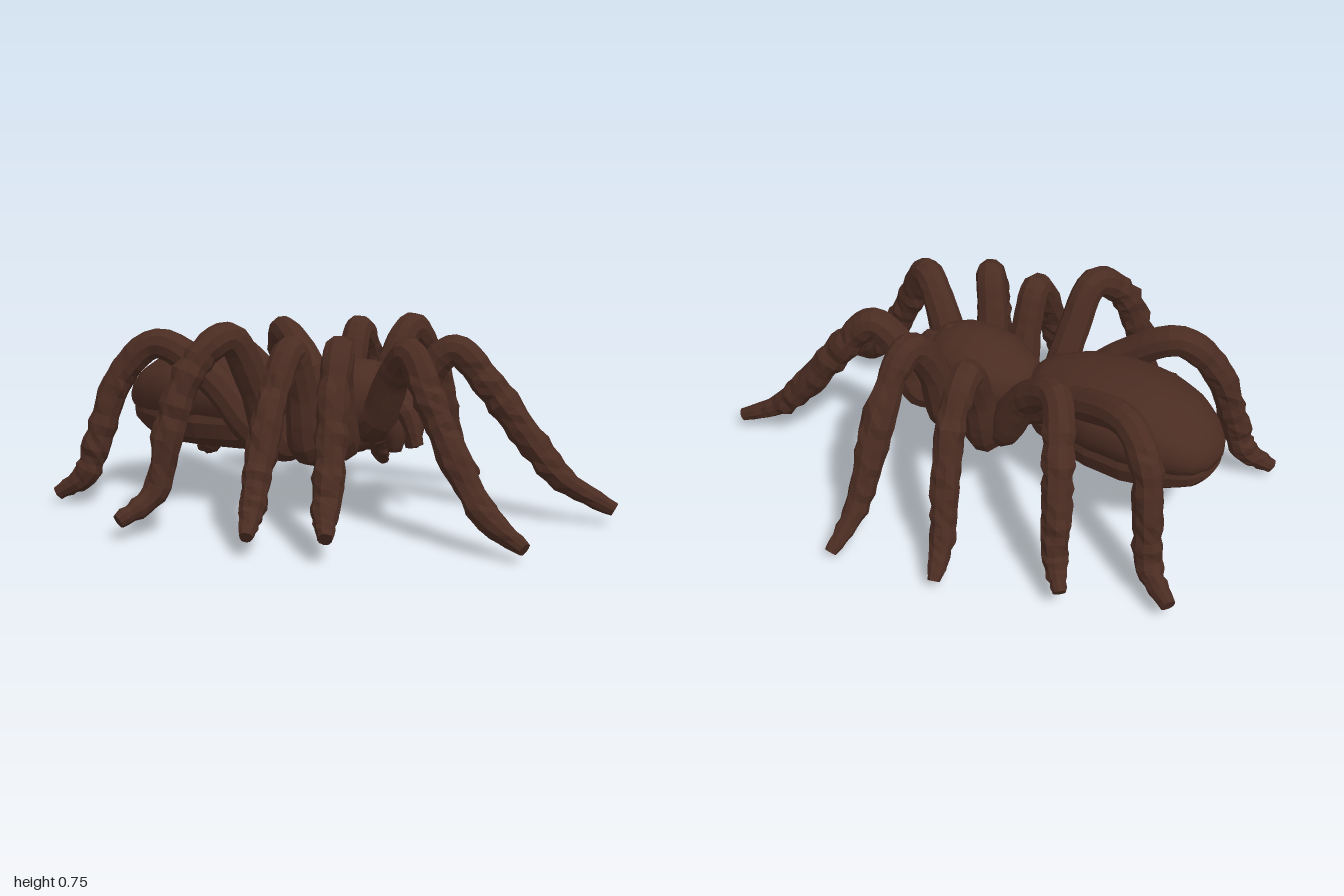
import * as THREE from 'three';

const brown = new THREE.MeshStandardMaterial({ color: 0x4a2c22 });
brown.name = 'dark brown';

// Seeded noise for the rough, hairy shins
let seed = 7;
const noise = () => {
  seed = (seed * 16807) % 2147483647;
  return seed / 2147483647 - 0.5;
};

// Skin over stations [x, y, z, halfHeight, halfWidth]; power < 1 makes sections boxier
function loft(name, stations, { steps = 24, sides = 10, power = 1, rough = () => 0, flat = true } = {}) {
  const at = i => new THREE.Vector3(stations[i][0], stations[i][1], stations[i][2]);
  const curve = new THREE.CatmullRomCurve3(stations.map((s, i) => at(i)));
  const last = stations.length - 1;
  const heading = at(last).sub(at(0)).setY(0).normalize();
  const across = new THREE.Vector3(0, 1, 0).cross(heading);
  const soft = v => Math.sign(v) * Math.abs(v) ** power;
  const pos = [], index = [];
  for (let i = 0; i <= steps; i++) {
    const t = i / steps, k = Math.min(Math.floor(t * last), last - 1), f = t * last - k;
    const h = THREE.MathUtils.lerp(stations[k][3], stations[k + 1][3], f);
    const w = THREE.MathUtils.lerp(stations[k][4], stations[k + 1][4], f);
    const c = curve.getPoint(t), tan = curve.getTangent(t);
    const side = across.clone().addScaledVector(tan, -across.dot(tan)).normalize();
    const up = tan.clone().cross(side);
    const ring = 1 + rough(t) * noise();
    for (let j = 0; j < sides; j++) {
      const a = (j / sides) * Math.PI * 2, r = ring + rough(t) * noise();
      const p = c.clone().addScaledVector(side, soft(Math.cos(a)) * w * r)
        .addScaledVector(up, soft(Math.sin(a)) * h * r);
      pos.push(p.x, p.y, p.z);
      if (i < steps) {
        const q = i * sides + j, n = i * sides + (j + 1) % sides;
        index.push(q, n, q + sides, n, n + sides, q + sides);
      }
    }
  }
  // End caps
  const end = steps * sides, tip = pos.length / 3;
  pos.push(...at(0).toArray(), ...at(last).toArray());
  for (let j = 0; j < sides; j++) {
    const n = (j + 1) % sides;
    index.push(tip, n, j, tip + 1, end + j, end + n);
  }
  let geo = new THREE.BufferGeometry();
  geo.setAttribute('position', new THREE.Float32BufferAttribute(pos, 3));
  geo.setIndex(index);
  if (flat) geo = geo.toNonIndexed();
  geo.computeVertexNormals();
  const mesh = new THREE.Mesh(geo, brown);
  mesh.name = name;
  return mesh;
}

// Leg joints from body to foot: root, hip, thigh, knee, shin, calf, ankle, toe
const legs = {
  leftLegs: [
    [[.15, .36, -.01], [.27, .38, .01], [.38, .56, .04], [.48, .65, .07], [.58, .5, .083], [.68, .33, .083], [.82, .14, .085], [.99, .05, .09]],
    [[.12, .31, .02], [.18, .31, .1], [.22, .52, .165], [.28, .655, .22], [.35, .5, .33], [.41, .28, .41], [.455, .15, .48], [.52, .09, .55]],
    [[.05, .29, .03], [.06, .28, .14], [.075, .5, .2], [.09, .645, .27], [.125, .48, .4], [.16, .27, .5], [.205, .13, .58], [.26, .07, .66]],
    [[-.03, .29, .05], [-.08, .28, .16], [-.09, .5, .27], [-.095, .69, .4], [-.135, .6, .53], [-.165, .38, .62], [-.19, .15, .68], [-.22, .07, .82]],
    [[-.06, .31, .06], [-.14, .3, .18], [-.32, .51, .28], [-.53, .63, .37], [-.64, .5, .46], [-.69, .28, .53], [-.73, .12, .57], [-.82, .04, .64]],
  ],
  rightLegs: [
    [[.15, .34, -.12], [.25, .36, -.21], [.32, .55, -.25], [.4, .625, -.29], [.5, .52, -.345], [.63, .34, -.405], [.78, .16, -.46], [.95, .06, -.545]],
    [[.06, .29, -.1], [.1, .31, -.2], [.11, .55, -.28], [.12, .68, -.38], [.12, .55, -.5], [.12, .33, -.6], [.11, .14, -.69], [.11, .02, -.83]],
    [[-.02, .29, -.1], [-.07, .3, -.19], [-.09, .52, -.26], [-.12, .655, -.34], [-.155, .55, -.45], [-.2, .33, -.54], [-.245, .14, -.61], [-.29, .04, -.7]],
    [[-.04, .31, -.09], [-.13, .34, -.16], [-.26, .54, -.18], [-.42, .64, -.21], [-.52, .5, -.31], [-.57, .3, -.375], [-.61, .14, -.42], [-.68, .08, -.48]],
    [[-.1, .35, -.04], [-.25, .42, -.02], [-.42, .52, -.05], [-.66, .59, -.11], [-.77, .5, -.15], [-.82, .3, -.185], [-.86, .12, -.21], [-.99, .07, -.27]],
  ],
};
const legRadius = [.065, .078, .063, .059, .058, .058, .049, .026];

export function createModel() {
  const model = new THREE.Group();
  model.name = 'spider';

  // Abdomen: an upper shell sloping to a low rear, overhanging a flatter belly
  model.add(loft('abdomenShell', [
    [-.85, .36, .165, .025, .05], [-.825, .37, .163, .06, .105], [-.77, .39, .157, .1, .155],
    [-.68, .415, .148, .135, .2], [-.57, .43, .135, .152, .225], [-.43, .435, .115, .155, .228],
    [-.29, .425, .09, .15, .195], [-.18, .41, .06, .125, .145], [-.12, .39, .04, .08, .09], [-.1, .38, .035, .02, .03],
  ], { steps: 36, sides: 20, power: .95, flat: false }));
  model.add(loft('abdomenBelly', [
    [-.84, .34, .165, .03, .07], [-.8, .335, .16, .065, .115], [-.7, .335, .148, .105, .175],
    [-.57, .33, .135, .118, .205], [-.42, .33, .115, .118, .205], [-.28, .33, .09, .115, .17],
    [-.17, .33, .06, .1, .12], [-.1, .34, .04, .05, .06],
  ], { steps: 28, sides: 14, power: .8 }));

  // Domed head shield
  model.add(loft('carapace', [
    [-.12, .39, .01, .05, .06], [-.08, .41, 0, .11, .125], [.02, .425, -.022, .15, .178],
    [.12, .435, -.04, .16, .183], [.2, .445, -.055, .145, .165], [.26, .45, -.065, .115, .13],
    [.285, .45, -.07, .06, .08],
  ], { steps: 24, sides: 18, power: .95, flat: false }));

  // Underside plate between the hips
  model.add(loft('sternum', [
    [-.12, .28, .02, .03, .05], [-.05, .275, .01, .05, .09], [.06, .275, -.03, .055, .1],
    [.16, .29, -.05, .045, .08], [.22, .32, -.06, .02, .04],
  ], { steps: 14, sides: 12, flat: false }));

  // Eye mound
  const eyes = new THREE.Mesh(new THREE.SphereGeometry(.03, 10, 6), brown);
  eyes.name = 'eyeMound';
  eyes.position.set(.235, .55, -.06);
  model.add(eyes);

  // Legs with smooth thighs and rough shins
  for (const [name, list] of Object.entries(legs)) {
    const group = new THREE.Group();
    group.name = name;
    list.forEach((joints, i) => group.add(loft(`leg${i + 1}`,
      joints.map((p, k) => [...p, legRadius[k], legRadius[k] * .95]),
      { steps: 42, sides: 10, rough: t => (t > .5 ? .2 : .03) })));
    model.add(group);
  }

  // Stout jaws with small drooping feelers outside them
  for (const s of [-1, 1]) {
    const z = -.075 + s * .05;
    model.add(loft(s > 0 ? 'leftJaw' : 'rightJaw', [
      [.2, .44, z, .07, .055], [.29, .42, z, .07, .055], [.33, .35, z, .055, .048], [.335, .27, z, .025, .025],
    ], { steps: 12, sides: 10, flat: false }));
    const tip = s > 0 ? [.43, .3, -.035] : [.39, .3, -.22];
    model.add(loft(s > 0 ? 'leftFeeler' : 'rightFeeler', [
      [.2, .4, -.07 + s * .06, .045, .045], [.3, .46, -.085 + s * .07, .045, .045],
      [tip[0] - .05, .42, tip[2], .042, .042], [...tip, .025, .025],
    ], { steps: 16, sides: 8, rough: () => .1 }));
  }
  return model;
}
